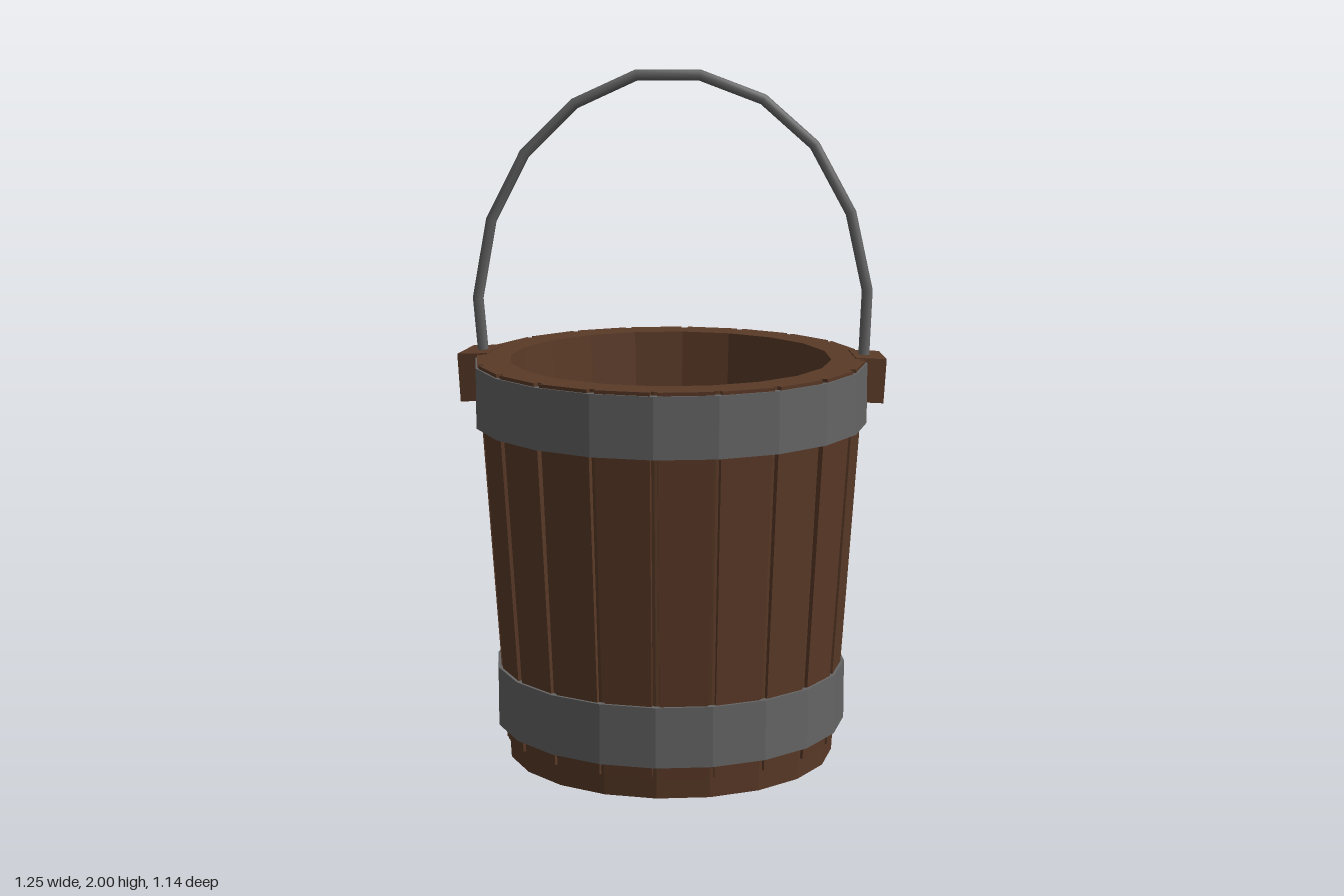
import * as THREE from 'three';

const SIDES = 20;
const HALF = Math.PI / SIDES;

const wood = new THREE.MeshStandardMaterial({ color: 0x5a3a27, flatShading: true });
const iron = new THREE.MeshStandardMaterial({ color: 0x646464, flatShading: true });
const ironSmooth = new THREE.MeshStandardMaterial({ color: 0x646464 });

function add(parent, name, geometry, material) {
  const mesh = new THREE.Mesh(geometry, material);
  mesh.name = name;
  parent.add(mesh);
  return mesh;
}

function lathe(profile) {
  return new THREE.LatheGeometry(profile.map(([r, y]) => new THREE.Vector2(r, y)), SIDES);
}

// Flat-faced plank that widens and leans outward towards the top
function staveGeometry() {
  const geo = new THREE.BoxGeometry(1, 1, 1);
  const p = geo.attributes.position;
  for (let i = 0; i < p.count; i++) {
    const top = p.getY(i) > 0;
    const r = top ? 0.566 : 0.492;
    const halfWidth = r * Math.sin(HALF) - 0.011;
    const depth = p.getZ(i) > 0 ? 0 : 0.035;
    p.setXYZ(i, Math.sign(p.getX(i)) * halfWidth, top ? 1.175 : 0.06, r * Math.cos(HALF) - depth);
  }
  geo.computeVertexNormals();
  return geo;
}

function hoopGeometry(inner, outer, y0, y1) {
  return lathe([[inner, y0], [outer, y0], [outer, y1], [inner, y1], [inner, y0]]);
}

export function createModel() {
  const bucket = new THREE.Group();
  bucket.name = 'bucket';

  // Hollow body with floor
  add(bucket, 'body', lathe([
    [0, 0], [0.48, 0], [0.55, 1.175], [0.467, 1.175], [0.414, 0.25], [0, 0.25],
  ]), wood);

  // Staves around the body
  const staves = new THREE.Group();
  staves.name = 'staves';
  bucket.add(staves);
  const plank = staveGeometry();
  for (let i = 0; i < SIDES; i++) {
    add(staves, 'stave', plank, wood).rotation.y = (2 * i + 1) * HALF;
  }

  // Iron hoops
  add(bucket, 'lowerHoop', hoopGeometry(0.475, 0.515, 0.1, 0.275), iron);
  add(bucket, 'upperHoop', hoopGeometry(0.53, 0.571, 0.99, 1.165), iron);

  // Handle blocks, each seated on the stave just behind the side
  for (const [name, side, width, height] of [['leftLug', 1, 0.145, 0.13], ['rightLug', -1, 0.157, 0.142]]) {
    const pivot = new THREE.Group();
    pivot.name = name;
    pivot.rotation.y = side * (Math.PI / 2 + HALF);
    bucket.add(pivot);
    const block = add(pivot, name + 'Block', new THREE.BoxGeometry(width, height, 0.09), wood);
    block.position.set(0, 1.176 - height / 2, 0.574);
    block.rotation.x = 0.06;
  }

  // Bail handle bent from straight segments
  const points = [
    [-0.555, 1.1], [-0.574, 1.33], [-0.532, 1.56], [-0.432, 1.755], [-0.285, 1.9], [-0.105, 1.983],
    [0.08, 1.983], [0.262, 1.915], [0.41, 1.785], [0.517, 1.59], [0.567, 1.365], [0.557, 1.1],
  ].map(([x, y]) => new THREE.Vector3(x, y, -0.088));
  const last = points.length - 1;
  const path = new THREE.CatmullRomCurve3(points);
  path.getPointAt = (t, target = new THREE.Vector3()) => target.copy(points[Math.round(t * last)]);
  path.getTangentAt = (t, target) => path.getTangent(t, target);
  add(bucket, 'handle', new THREE.TubeGeometry(path, last, 0.016, 8), ironSmooth);

  return bucket;
}
